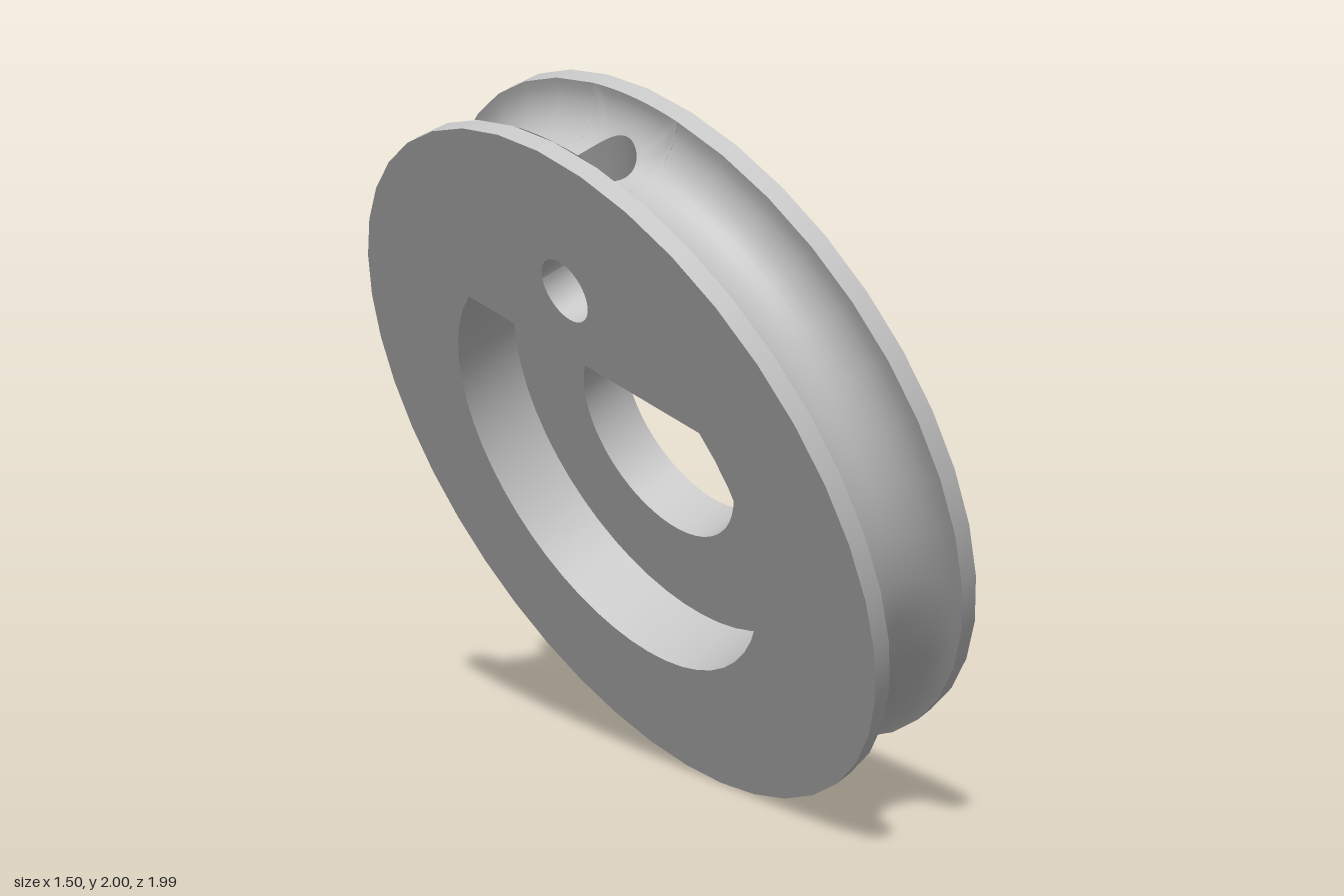
import * as THREE from 'three';

// Tilted pulley wheel: local z is the axle, local y points at the rope hole.
const R = 1.019, H = 0.178;              // rim radius, half thickness
const G = 0.128;                         // groove radius
const SIDES = 40, STEP = (Math.PI * 2) / SIDES;
const BIG = { r: 0.607, flat: 0.39 };    // D-shaped recess
const SMALL = { r: 0.304, flat: 0.168 }; // D-shaped shaft hole
const LEDGE = 0.025;                     // level of the recess floor
const BORE = 0.186, ROPE = 0.089, BY = 0.61; // knot pocket, rope hole, their offset

const PI = Math.PI;
const half = (r, x) => Math.sqrt(Math.max(0, r * r - x * x));

function arc(r, cy, from, to, n = 32) {
  return Array.from({ length: n + 1 }, (_, i) => {
    const a = from + ((to - from) * i) / n;
    return new THREE.Vector2(r * Math.cos(a), cy + r * Math.sin(a));
  });
}

function dArc({ r, flat }) {
  const a = Math.asin(flat / r);
  return arc(r, 0, PI - a, 2 * PI + a, 36);
}

// Smooth surface through rows of points
function grid(rows) {
  const n = rows[0].length, index = [];
  for (let j = 0; j < rows.length - 1; j++) {
    for (let i = 0; i < n - 1; i++) {
      const a = j * n + i, b = a + n;
      index.push(a, b, b + 1, a, b + 1, a + 1);
    }
  }
  const g = new THREE.BufferGeometry().setFromPoints(rows.flat());
  g.setIndex(index);
  g.computeVertexNormals();
  return g;
}

// Hole wall along the axle; each end is a level or a function of the point
function wall(pts, z0, z1) {
  const row = (z) => pts.map((p) => new THREE.Vector3(p.x, p.y, typeof z === 'function' ? z(p) : z));
  return grid([row(z0), row(z1)]);
}

// Flat face with holes at level z
function face(outline, holes, z, flip) {
  const shape = new THREE.Shape(outline);
  holes.forEach((h) => shape.holes.push(new THREE.Path(h)));
  const g = new THREE.ShapeGeometry(shape);
  if (flip) {
    g.index.array.reverse();
    g.computeVertexNormals();
  }
  return g.translate(0, 0, z);
}

// Point on the groove: angle around the axle, angle across the groove
function groovePoint(theta, phi) {
  const rho = R - G * Math.cos(phi);
  return new THREE.Vector3(rho * Math.sin(theta), rho * Math.cos(theta), G * Math.sin(phi));
}

// Where the rope hole breaks through the groove
function ropeEdge(t) {
  const phi = Math.asin((ROPE * Math.sin(t)) / G);
  const theta = Math.asin((ROPE * Math.cos(t)) / (R - G * Math.cos(phi)));
  return [theta, phi];
}

export function createModel() {
  const grey = new THREE.MeshStandardMaterial({ color: 0xc4c4c4, side: THREE.DoubleSide });
  grey.name = 'light grey';
  const wheel = new THREE.Group();
  wheel.name = 'pulleyWheel';
  const add = (name, geometry) => {
    const mesh = new THREE.Mesh(geometry, grey);
    mesh.name = name;
    wheel.add(mesh);
  };

  // Rim lips
  for (const [name, z0, z1] of [['frontLip', -H, -G], ['backLip', G, H]]) {
    const profile = [new THREE.Vector2(R, z0), new THREE.Vector2(R, z1)];
    add(name, new THREE.LatheGeometry(profile, SIDES).rotateX(PI / 2));
  }

  // Rope groove, leaving a window of two segments for the rope hole
  const profile = Array.from({ length: 17 }, (_, i) => {
    const phi = -PI / 2 + (PI * i) / 16;
    return new THREE.Vector2(R - G * Math.cos(phi), G * Math.sin(phi));
  });
  add('groove', new THREE.LatheGeometry(profile, SIDES - 2, PI + STEP, 2 * PI - 2 * STEP).rotateX(PI / 2));

  // Groove patch between the window and the rope hole
  const rows = [];
  for (let j = 0; j <= 6; j++) {
    rows.push(Array.from({ length: 49 }, (_, i) => {
      const t = (i / 48) * 2 * PI, c = Math.cos(t), s = Math.sin(t);
      const m = Math.max(Math.abs(c), Math.abs(s));
      const [theta, phi] = ropeEdge(t), k = j / 6;
      return groovePoint(
        THREE.MathUtils.lerp((c / m) * STEP, theta, k),
        THREE.MathUtils.lerp(((s / m) * PI) / 2, phi, k)
      );
    }));
  }
  add('groovePatch', grid(rows));

  // Side faces
  const disc = arc(R, 0, 0, 2 * PI, SIDES).slice(0, -1);
  const circle = (r) => arc(r, BY, 0, 2 * PI, 40).slice(0, -1);
  add('backFace', face(disc, [dArc(SMALL), circle(BORE)], H, false));
  add('frontFace', face(disc, [dArc(BIG), circle(ROPE)], -H, true));

  // Stepped D-shaped shaft opening
  add('recessFloor', face(dArc(BIG), [dArc(SMALL)], LEDGE, true));
  for (const [name, d, z0, z1] of [['recess', BIG, -H, LEDGE], ['shaftHole', SMALL, LEDGE, H]]) {
    const pts = dArc(d);
    add(name + 'Wall', wall(pts, z0, z1));
    add(name + 'Flat', wall([pts[pts.length - 1], pts[0]], z0, z1));
  }

  // Knot pocket, notched where the rope hole enters
  const b = Math.acos(ROPE / BORE);
  const pocketArc = arc(BORE, BY, PI - b, 2 * PI + b, 36);
  add('pocketWall', wall(pocketArc, 0, H));
  add('pocketNotchWall', wall(arc(BORE, BY, b, PI - b, 20), (p) => half(ROPE, p.x), H));
  add('pocketFloor', face([...pocketArc, ...arc(ROPE, BY, 0, -PI, 20)], [], 0, false));

  // Small hole through to the front face
  add('smallHoleLower', wall(arc(ROPE, BY, PI, 2 * PI, 20), -H, 0));
  add('smallHoleUpper', wall(arc(ROPE, BY, 0, PI, 20), -H, (p) => -half(ROPE, p.x)));

  // Radial rope hole: back half ends at the pocket, front half at the small hole
  for (const [name, from, inner] of [['ropeHoleBack', 0, BORE], ['ropeHoleFront', PI, ROPE]]) {
    const ts = Array.from({ length: 21 }, (_, i) => from + (PI * i) / 20);
    const outerRow = ts.map((t) => groovePoint(...ropeEdge(t)));
    const innerRow = ts.map((t) => {
      const x = ROPE * Math.cos(t);
      return new THREE.Vector3(x, BY + half(inner, x), ROPE * Math.sin(t));
    });
    add(name, grid([outerRow, innerRow]));
  }

  // Tilt the wheel into its resting pose
  const n = new THREE.Vector3(0.804, 0.42, -0.42).normalize();
  const u = new THREE.Vector3(0.56, -0.305, 0.77);
  u.addScaledVector(n, -u.dot(n)).normalize();
  const v = new THREE.Vector3().crossVectors(u, n);
  wheel.quaternion.setFromRotationMatrix(new THREE.Matrix4().makeBasis(u.clone().negate(), v, n));
  wheel.position.y = 1;

  const model = new THREE.Group();
  model.name = 'pulley';
  model.add(wheel);
  return model;
}
